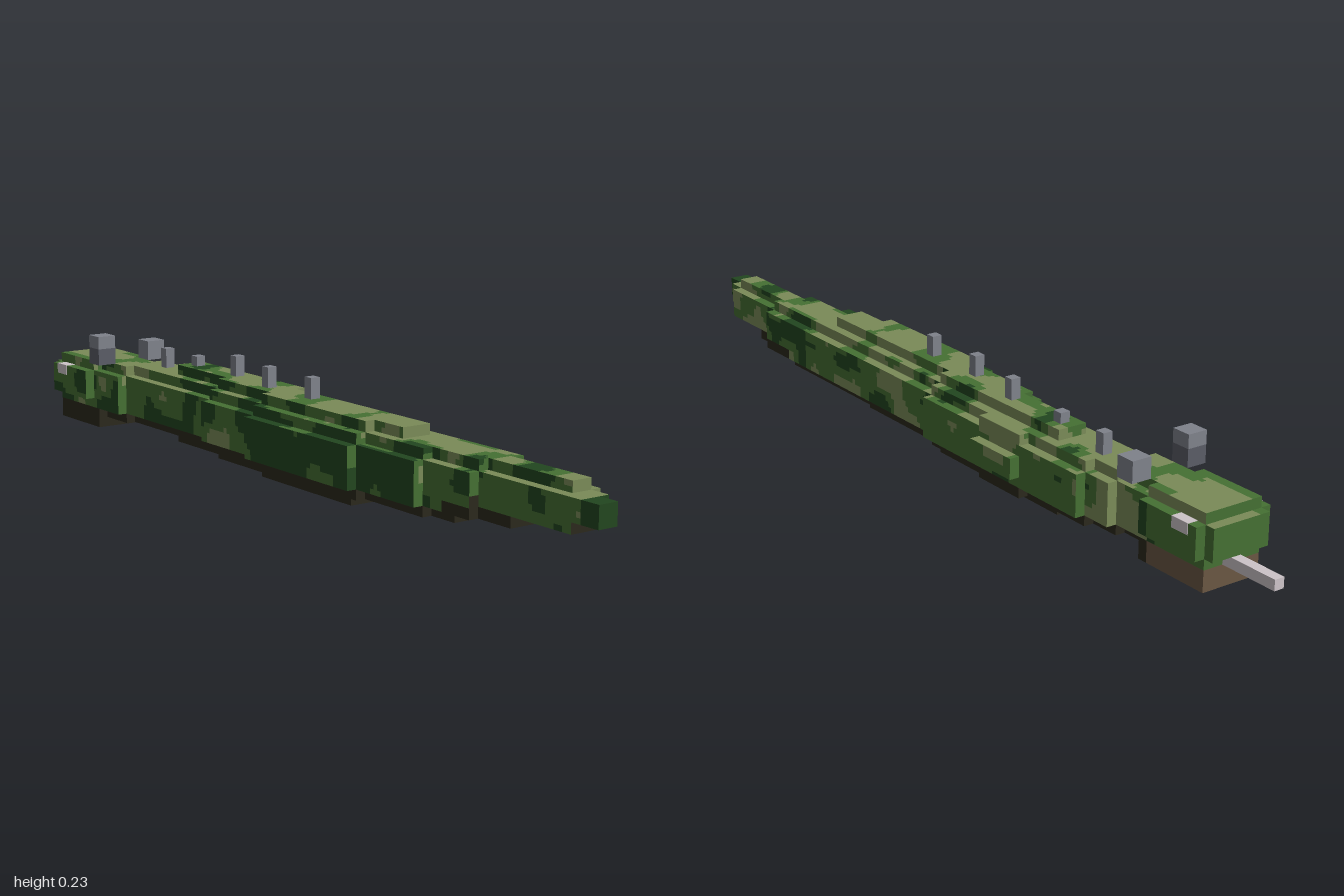
import * as THREE from 'three';

const U = 2 / 87; // edge of one block

const COLORS = {
  lightGreen: 0x7a8b58, midGreen: 0x457033, darkGreen: 0x22461f, brown: 0x2b281c,
  tan: 0x6a5743, grey: 0x7f828b, darkGrey: 0x5a5d66, paleGrey: 0xcdc4c8,
};
const mats = {};
for (const [name, color] of Object.entries(COLORS)) {
  mats[name] = new THREE.MeshStandardMaterial({ color });
  mats[name].name = name;
}

// Smooth seeded noise, 0..1
function hash(x, y, z) {
  const s = Math.sin(x * 127.1 + y * 311.7 + z * 74.7 + 5.3) * 43758.5453;
  return s - Math.floor(s);
}
function noise(x, y, z) {
  const p = [x, y, z], f = p.map(Math.floor);
  const t = p.map((v, n) => { const d = v - f[n]; return d * d * (3 - 2 * d); });
  let sum = 0;
  for (let n = 0; n < 8; n++) {
    const a = n & 1, b = (n >> 1) & 1, c = n >> 2;
    sum += hash(f[0] + a, f[1] + b, f[2] + c) *
      (a ? t[0] : 1 - t[0]) * (b ? t[1] : 1 - t[1]) * (c ? t[2] : 1 - t[2]);
  }
  return sum;
}

// Value of a step table [[limit, value], ...] at z
const step = (table, z) => table.find(([limit]) => z < limit)[1];

// Outline of the body, in blocks, from neck to tail tip
const LEFT = [[-0.59, -4], [-0.22, -3], [0, -4], [0.35, -5], [0.53, -4], [0.67, -3], [9, -2]];
const RIGHT = [[-0.61, 2], [-0.54, 3], [-0.365, 4], [-0.225, 5], [0, 4], [0.69, 3], [0.9, 2], [0.95, 1], [9, 0]];
const BOTTOM = [[-0.42, 1], [0.31, 0], [0.61, 1], [0.77, 2], [0.93, 3], [9, 4]];
const TOP = [[-0.42, 7], [0.45, 8], [0.91, 7], [9, 6]];
const ROW_LEFT = [-5, -5, -5, -5, -5, -5, -5, -3]; // limits of each row of blocks
const ROW_RIGHT = [2, 4, 4, 5, 5, 4, 4, 2];

function bodySolid(i, j, k) {
  const z = (k + 0.5) * U - 1;
  if (k < 13 || k > 86) return false;
  if (j < step(BOTTOM, z) || j >= step(TOP, z)) return false;
  const l = step(LEFT, z), r = step(RIGHT, z);
  let inset = [2, 1, 0, 0, 0, 0, 1, 2][j];
  if (r - l < 6) inset = Math.min(inset, 1);
  if (r - l < 4) inset = 0;
  return i >= Math.max(l + inset, ROW_LEFT[j]) && i < Math.min(r - inset, ROW_RIGHT[j]);
}

function headSolid(i, j, k) {
  if (k === 5) return i >= -4 && i < 2 && j >= 3 && j < 6; // snout front
  if (k < 6 || k > 12 || j < 2 || j > 6) return false;
  const inset = j === 6 || j === 2 ? 1 : 0;
  return i >= -5 + inset && i < 3 - inset;
}

const jawSolid = (i, j, k) => i >= -4 && i < 2 && j >= 0 && j < 2 && k >= 6 && k < 14;

// Camouflage: light on the back, mid on the left flank, dark on the right one
function camo(p, dir) {
  const n = noise(p[0] / 0.055 + 4, p[1] / 0.055 + 7, p[2] / 0.06 + 31);
  let dark = 0.29, light = 0.64;
  if (dir[1] > 0) [dark, light] = p[0] < -0.065 ? [0.42, 0.72] : [0.24, 0.47];
  else if (dir[0] < 0) [dark, light] = [0.5, 0.78];
  else if (p[1] > 0.14) [dark, light] = [0.25, 0.5];
  return n < dark ? 'darkGreen' : n < light ? 'midGreen' : 'lightGreen';
}
function bodyColor(p, dir, j) {
  if (p[2] > 0.95) return 'darkGreen';
  if (dir[2] > 0 && j > 0 && j < 3 && p[0] > 0.023 && p[0] < 0.068) return 'tan';
  if (j < 2 || (j === 2 && p[2] > 0.6) || dir[1] < 0) return 'brown';
  if (dir[2] > 0 && j < 4 && p[0] > -0.07 && p[0] < 0.023) return 'brown';
  if (dir[0] > 0 && Math.abs(p[2]) < 0.012) return 'darkGreen'; // seam at mid length
  return camo(p, dir);
}
function headColor(p, dir, j) {
  if (dir[1] < 0 || dir[2] < 0) return 'midGreen';
  if (dir[0] > 0) return j === 6 ? 'lightGreen' : p[2] > -0.72 ? 'darkGreen' : 'midGreen';
  if (dir[1] > 0 && (p[0] < -0.07 || p[0] > 0.045)) return 'midGreen';
  if (dir[1] > 0 && p[2] < -0.76) return 'lightGreen';
  return camo(p, dir);
}
function jawColor(p, dir) {
  if (dir[1] < 0) return p[2] < -0.79 ? 'tan' : 'brown';
  return (dir[0] > 0 && p[2] < -0.7) || dir[2] < 0 ? 'tan' : 'brown';
}

// Outer faces of a block solid, each split in four so that blotches look round
function blockPart(name, solid, colorAt) {
  const pos = {};
  for (let k = 0; k < 87; k++) for (let j = 0; j < 10; j++) for (let i = -5; i < 5; i++) {
    if (!solid(i, j, k)) continue;
    for (let axis = 0; axis < 3; axis++) for (const sign of [-1, 1]) {
      const dir = [0, 0, 0];
      dir[axis] = sign;
      if (solid(i + dir[0], j + dir[1], k + dir[2])) continue;
      const a = (axis + 1) % 3, b = (axis + 2) % 3;
      for (let q = 0; q < 4; q++) {
        const corner = (s, t) => {
          const c = [i, j, k];
          c[axis] += sign > 0 ? 1 : 0;
          c[a] += ((q & 1) + s) / 2;
          c[b] += ((q >> 1) + t) / 2;
          return [c[0] * U, c[1] * U, c[2] * U - 1];
        };
        const key = colorAt(corner(0.5, 0.5), dir, j);
        const c = [corner(0, 0), corner(1, 0), corner(1, 1), corner(0, 1)];
        if (sign < 0) c.reverse();
        (pos[key] ??= []).push(...[0, 1, 2, 0, 2, 3].flatMap((n) => c[n]));
      }
    }
  }
  const group = new THREE.Group();
  group.name = name;
  for (const [key, list] of Object.entries(pos)) {
    const geo = new THREE.BufferGeometry();
    geo.setAttribute('position', new THREE.Float32BufferAttribute(list, 3));
    geo.computeVertexNormals();
    const mesh = new THREE.Mesh(geo, mats[key]);
    mesh.name = name + ' ' + key;
    group.add(mesh);
  }
  return group;
}

// Plain box from block limits in x and y, and real limits in z
function box(name, mat, x0, x1, y0, y1, z0, z1) {
  const mesh = new THREE.Mesh(new THREE.BoxGeometry((x1 - x0) * U, (y1 - y0) * U, z1 - z0), mats[mat]);
  mesh.position.set((x0 + x1) / 2 * U, (y0 + y1) / 2 * U, (z0 + z1) / 2);
  mesh.name = name;
  return mesh;
}

export function createModel() {
  const model = new THREE.Group();
  model.name = 'reptile';
  model.add(blockPart('body', bodySolid, bodyColor));
  model.add(blockPart('head', headSolid, headColor));
  model.add(blockPart('jaw', jawSolid, jawColor));
  model.add(box('tongue', 'paleGrey', -1, 0, 2, 3, -1, -0.86));

  // Pale markings on the sides of the snout
  model.add(box('rightMarking', 'paleGrey', -5.05, -4, 5, 6.05, -0.84, -0.795));
  model.add(box('leftMarking', 'paleGrey', 2, 3.05, 5, 6.05, -0.84, -0.795));

  // Raised eyes, the right one with a darker lower part
  model.add(box('rightEyeBase', 'darkGrey', -5, -3, 7, 8.7, -0.68, -0.635));
  model.add(box('rightEye', 'grey', -5, -3, 8.7, 10, -0.68, -0.635));
  model.add(box('leftEye', 'grey', 1, 3, 7, 9, -0.68, -0.635));

  // Spines along the back: z, block x, base, tip
  for (const [z, x, y0, y1] of [
    [-0.525, 0, 7, 9], [-0.39, 0, 8, 9], [-0.225, 0, 8, 10], [-0.065, -1, 8, 10], [0.095, -1, 8, 10],
  ]) model.add(box('spine', 'grey', x, x + 1, y0, y1, z - U / 2, z + U / 2));
  return model;
}
